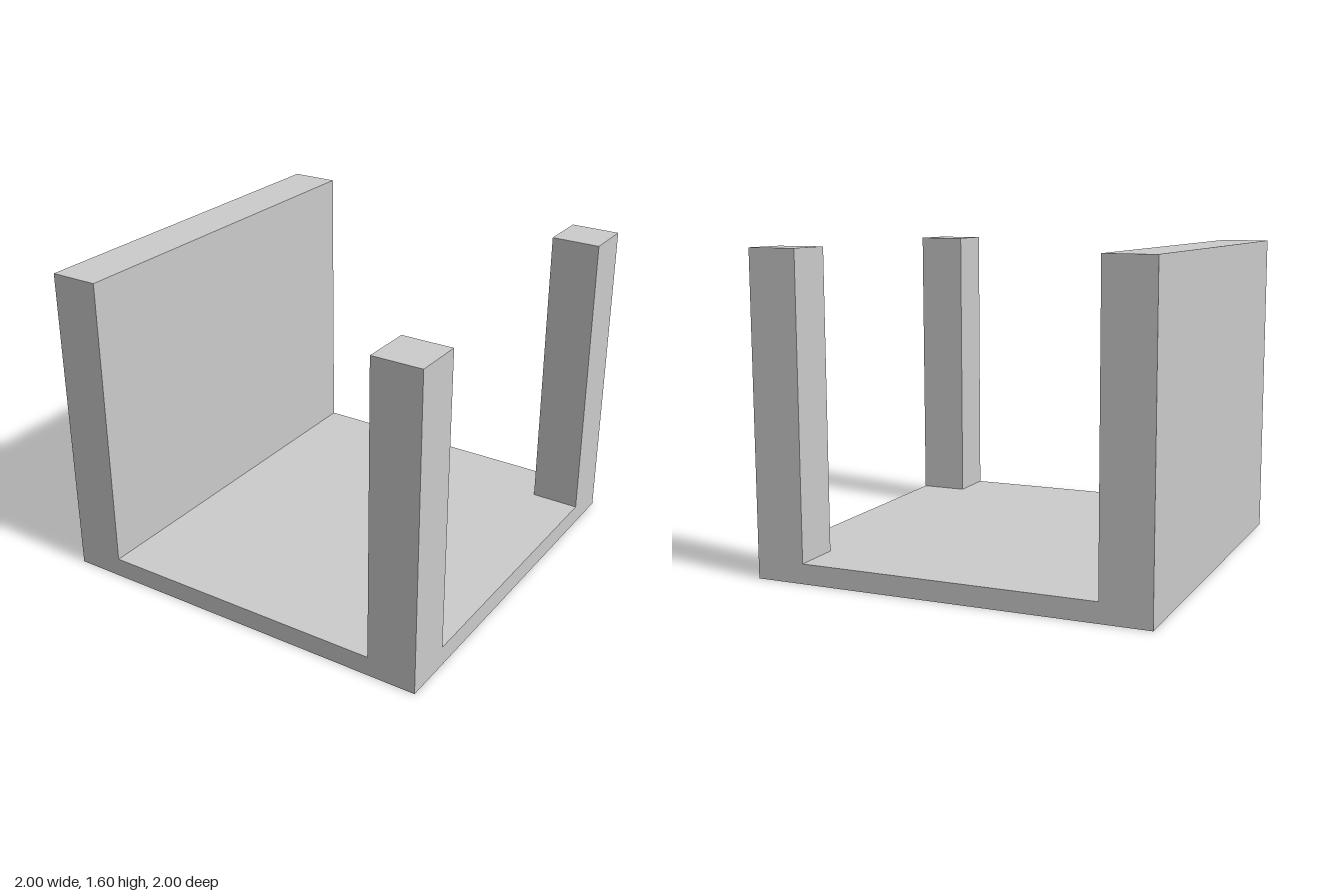
import * as THREE from 'three';

const H = 1.6, FLOOR = 0.1, T = 0.25, IN = 1 - T; // height, floor level, wall thickness, inner limit

export function createModel() {
  const model = new THREE.Group();
  const material = new THREE.MeshStandardMaterial({ color: 0xcccccc, flatShading: true, side: THREE.DoubleSide });

  const add = (name, geometry, [x, y, z], [rx, ry] = [0, 0], parent = model) => {
    const mesh = new THREE.Mesh(geometry, material);
    mesh.name = name;
    mesh.position.set(x, y, z);
    mesh.rotation.set(rx, ry, 0);
    parent.add(mesh);
  };
  const shape = (points) =>
    new THREE.ShapeGeometry(new THREE.Shape(points.map(([x, y]) => new THREE.Vector2(x, y))));
  const plane = (w, h) => new THREE.PlaneGeometry(w, h);

  // Thin outer skin, open underneath: three U-shaped sides and one full side
  const uSide = shape([[-1, 0], [1, 0], [1, H], [IN, H], [IN, FLOOR], [-IN, FLOOR], [-IN, H], [-1, H]]);
  add('frontSide', uSide, [0, 0, 1]);
  add('backSide', uSide, [0, 0, -1], [0, Math.PI]);
  add('leftSide', uSide, [1, 0, 0], [0, Math.PI / 2]);
  add('wallOuterFace', plane(2, H), [-1, H / 2, 0], [0, -Math.PI / 2]);

  // Hollow wall: inner face and top
  const innerH = H - FLOOR, midY = (H + FLOOR) / 2, mid = 1 - T / 2;
  add('wallInnerFace', plane(2, innerH), [-IN, midY, 0], [0, Math.PI / 2]);
  add('wallTop', plane(T, 2), [-mid, H, 0], [-Math.PI / 2, 0]);

  // Floor, notched around the two hollow posts
  const floor = shape([[-IN, -1], [IN, -1], [IN, -IN], [1, -IN], [1, IN], [IN, IN], [IN, 1], [-IN, 1]]);
  add('floor', floor, [0, FLOOR, 0], [-Math.PI / 2, 0]);

  // Inner faces and caps of the front and back posts
  for (const s of [1, -1]) {
    const post = new THREE.Group();
    post.name = s > 0 ? 'frontPost' : 'backPost';
    add('postSideFace', plane(T, innerH), [IN, midY, s * mid], [0, -Math.PI / 2], post);
    add('postInnerFace', plane(T, innerH), [mid, midY, s * IN], [0, s > 0 ? Math.PI : 0], post);
    add('postTop', plane(T, T), [mid, H, s * mid], [-Math.PI / 2, 0], post);
    model.add(post);
  }
  return model;
}
